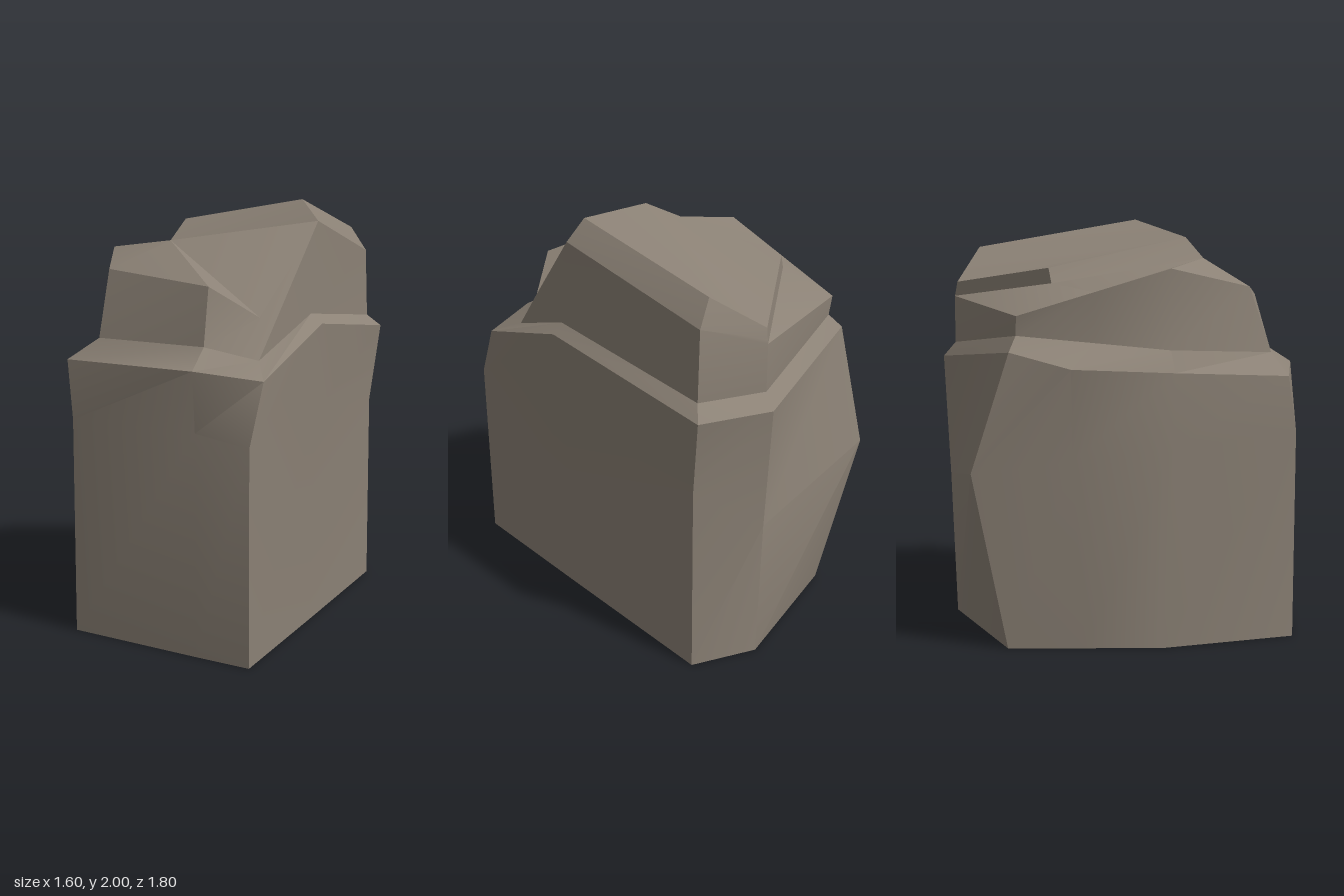
import * as THREE from 'three';
import { toCreasedNormals } from 'three/addons/utils/BufferGeometryUtils.js';

// Every ring has nine corners, running front, +x side, back, -x side.
const base = [[-.14, 0, .9], [.53, 0, .775], [.8, 0, .72], [.54, 0, .02], [.22, 0, -.83],
  [-.11, 0, -.83], [-.66, 0, -.37], [-.57, 0, -.02], [-.48, 0, .33]];
const shoulder = [[-.14, 1, .9], [.53, 1, .775], [.8, .96, .72], [.56, 1, .02], [.22, .95, -.83],
  [-.12, .72, -.85], [-.8, .85, -.49], [-.67, .9, -.05], [-.54, .96, .39]];
const rim = [[-.21, 1.27, .87], [.53, 1.27, .79], [.77, 1.23, .6], [.6, 1.43, .02], [.23, 1.34, -.905],
  [-.14, 1.32, -.87], [-.75, 1.4, -.32], [-.75, 1.33, -.03], [-.5, 1.3, .39]];
const tierFoot = [[-.1, 1.37, .77], [.47, 1.36, .66], [.64, 1.3, .49], [.55, 1.475, .04], [.2, 1.4, -.825],
  [-.13, 1.39, -.81], [-.68, 1.47, -.31], [-.57, 1.435, .03], [-.46, 1.4, .36]];
const tierTop = [[-.14, 1.68, .67], [.45, 1.62, .61], [.57, 1.48, .41], [.53, 1.9, -.03], [.19, 1.74, -.82],
  [-.13, 1.62, -.81], [-.7, 1.56, -.3], [-.58, 1.665, .03], [-.46, 1.77, .36]];

// The cap has five corners; some are repeated so its rings match the others.
const capRing = ([a, b, c, d, e]) => [a, a, a, b, c, d, e, e, a];
const capFoot = capRing([[.01, 1.81, .42], tierTop[3], tierTop[4], [-.13, 1.64, -.805], [-.48, 1.7, -.2]]);
const capTop = capRing([[.02, 1.91, .33], [.44, 2, -.02], [.13, 1.86, -.77], [-.13, 1.69, -.795], [-.46, 1.77, -.22]]);

// Skin a stack of rings, leaving out collapsed triangles; optionally close the ends.
function skin(rings, { floor = false, lid = false } = {}) {
  const positions = [];
  const tri = (...corners) => {
    const [a, b, c] = corners.map((p) => new THREE.Vector3(...p));
    if (b.sub(a).cross(c.sub(a)).length() > 1e-6) positions.push(...corners.flat());
  };
  for (let r = 0; r < rings.length - 1; r++) {
    const lower = rings[r], upper = rings[r + 1], n = lower.length;
    for (let i = 0; i < n; i++) {
      const j = (i + 1) % n;
      tri(lower[i], lower[j], upper[j]);
      tri(lower[i], upper[j], upper[i]);
    }
  }
  const first = rings[0], last = rings[rings.length - 1];
  for (let i = 1; i < first.length - 1; i++) {
    if (floor) tri(first[0], first[i + 1], first[i]);
    if (lid) tri(last[0], last[i], last[i + 1]);
  }
  const geometry = new THREE.BufferGeometry();
  geometry.setAttribute('position', new THREE.Float32BufferAttribute(positions, 3));
  return toCreasedNormals(geometry, 0.5);
}

export function createModel() {
  const rock = new THREE.Group();
  rock.name = 'rock';
  const stone = new THREE.MeshStandardMaterial({ color: 0x8c8276 });
  stone.name = 'stone';

  const add = (name, rings, ends) => {
    const mesh = new THREE.Mesh(skin(rings, ends), stone);
    mesh.name = name;
    rock.add(mesh);
  };
  add('mainBlock', [base, shoulder, rim], { floor: true });
  add('slopingLedge', [rim, tierFoot]);
  add('upperTier', [tierFoot, tierTop, capFoot]);
  add('capStone', [capFoot, capTop], { lid: true });
  return rock;
}
